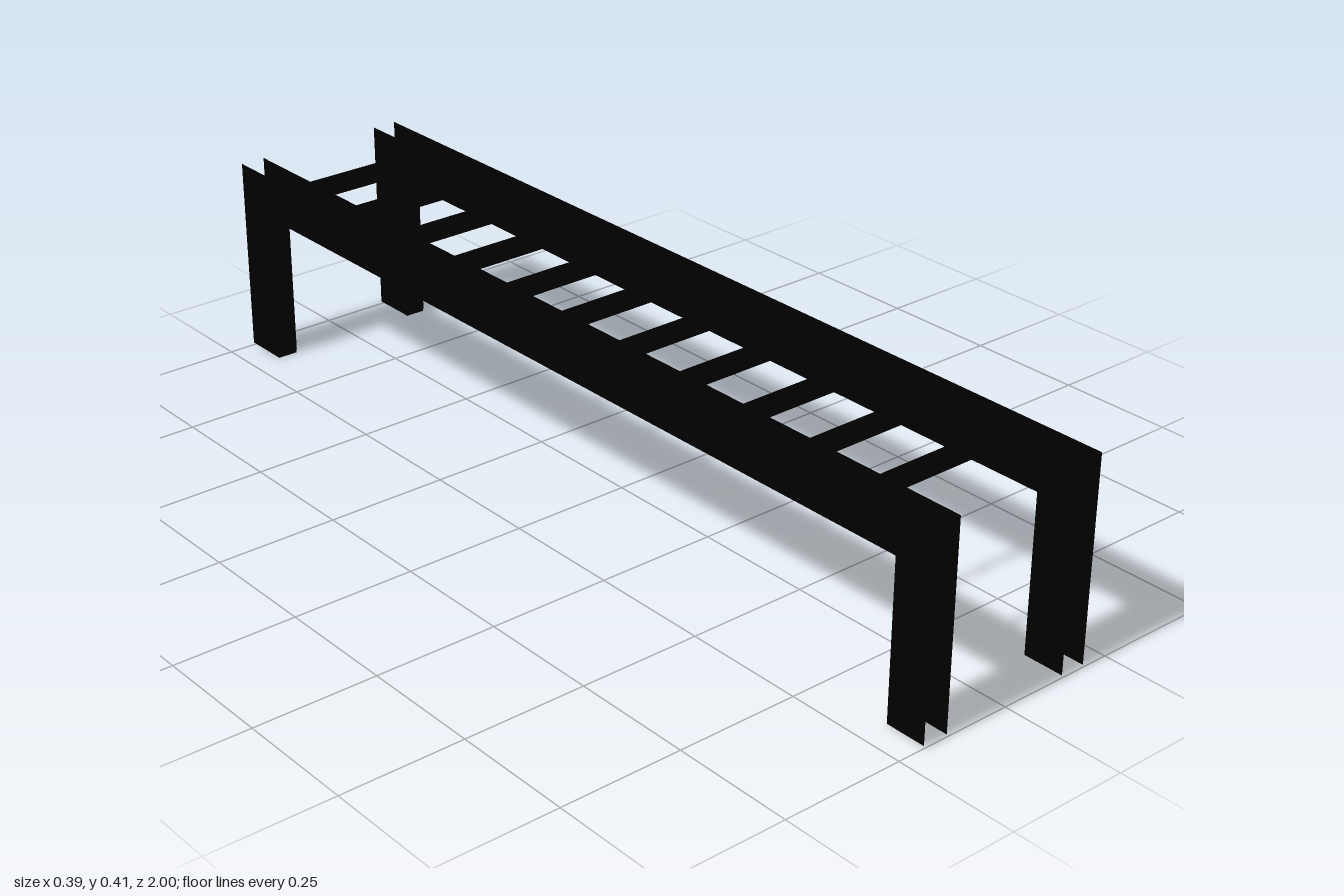
import * as THREE from 'three';

const RAIL_X = 0.1665;   // centre of each hollow rail
const HALF_W = 0.0265;   // half the rail's width
const BEVEL = 0.005;
const IN_Z = 0.91, IN_Y = 0.32; // inner edge of the frame

const material = new THREE.MeshStandardMaterial({
  color: 0x000000, flatShading: true, side: THREE.DoubleSide,
});

// Thin upside-down U: two legs and the beam between them
function plateGeometry() {
  const z = IN_Z + BEVEL, y = IN_Y + BEVEL;
  const outline = [[-1, BEVEL], [-z, BEVEL], [-z, y], [z, y], [z, BEVEL], [1, BEVEL], [1, 0.415], [-1, 0.415]];
  const shape = new THREE.Shape(outline.map(([a, b]) => new THREE.Vector2(a, b)));
  return new THREE.ShapeGeometry(shape).rotateY(-Math.PI / 2);
}

// Bevelled strip that joins the two plates along the inner edge of the U
function webGeometry() {
  const section = [[-HALF_W, BEVEL], [-HALF_W + BEVEL, 0], [HALF_W - BEVEL, 0], [HALF_W, BEVEL]];
  const positions = [], index = [];
  for (const [x, d] of section) {
    const z = IN_Z + d, y = IN_Y + d;
    positions.push(x, d, z, x, y, z, x, y, -z, x, d, -z);
  }
  for (let s = 0; s < 3; s++) {
    for (let p = 0; p < 3; p++) {
      const a = s * 4 + p, b = a + 4;
      index.push(a, a + 1, b, b, a + 1, b + 1);
    }
  }
  const geometry = new THREE.BufferGeometry();
  geometry.setAttribute('position', new THREE.Float32BufferAttribute(positions, 3));
  geometry.setIndex(index);
  geometry.computeVertexNormals();
  return geometry;
}

export function createModel() {
  const model = new THREE.Group();
  model.name = 'overheadLadder';
  const add = (parent, geometry, name, x, y = 0, z = 0) => {
    const mesh = new THREE.Mesh(geometry, material);
    mesh.name = name;
    mesh.position.set(x, y, z);
    parent.add(mesh);
  };

  // Side frames: open channels, each two plates and a web
  const plate = plateGeometry(), web = webGeometry();
  for (const side of [1, -1]) {
    const frame = new THREE.Group();
    frame.name = side > 0 ? 'leftFrame' : 'rightFrame';
    frame.position.x = side * RAIL_X;
    add(frame, plate, 'outerPlate', side * HALF_W);
    add(frame, plate, 'innerPlate', -side * HALF_W);
    add(frame, web, 'web', 0);
    model.add(frame);
  }

  // Rungs
  const rung = new THREE.BoxGeometry(0.366, 0.039, 0.011);
  for (let i = -5; i <= 5; i++) add(model, rung, 'rung', 0, 0.3915, i * 0.165 - 0.004);

  return model;
}
